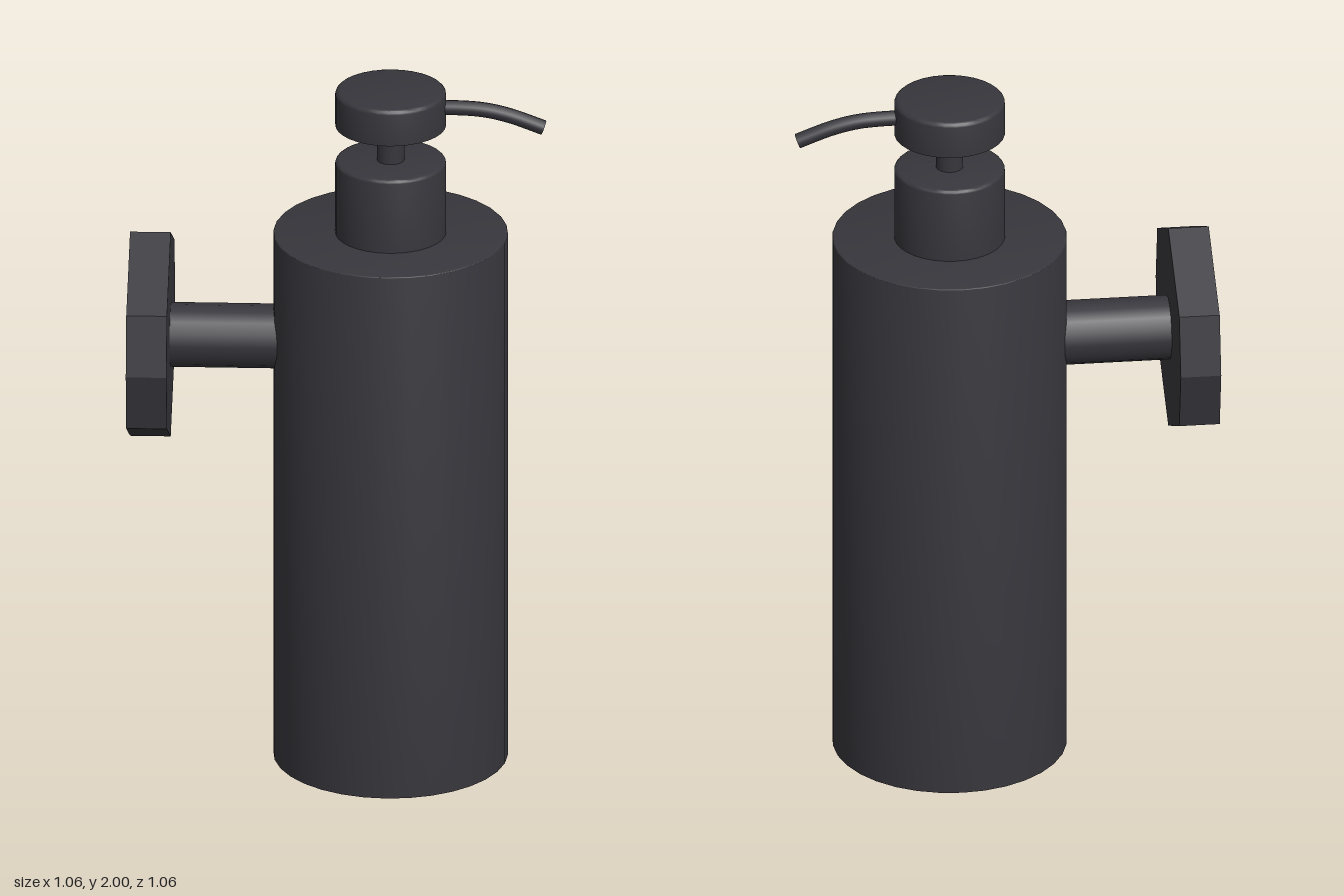
import * as THREE from 'three';
import { toCreasedNormals } from 'three/addons/utils/BufferGeometryUtils.js';

export function createModel() {
  const model = new THREE.Group();
  const matteBlack = new THREE.MeshStandardMaterial({ color: 0x37363c, side: THREE.DoubleSide });

  const add = (parent, name, geometry) => {
    const mesh = new THREE.Mesh(geometry, matteBlack);
    mesh.name = name;
    parent.add(mesh);
    return mesh;
  };

  // Solid turned drum with a small rounded rim at the top
  const drum = (radius, y0, y1, bevel, segments) => {
    const points = [new THREE.Vector2(0, y0), new THREE.Vector2(radius, y0)];
    for (let i = 0; i <= 3; i++) {
      const a = (i / 3) * Math.PI / 2;
      points.push(new THREE.Vector2(
        radius - bevel + bevel * Math.cos(a), y1 - bevel + bevel * Math.sin(a)));
    }
    points.push(new THREE.Vector2(0, y1));
    return toCreasedNormals(new THREE.LatheGeometry(points, segments), 0.6);
  };

  // Bottle and pump share one vertical axis
  const dispenser = new THREE.Group();
  dispenser.name = 'dispenser';
  dispenser.position.set(0.2, 0, 0.2);
  model.add(dispenser);
  add(dispenser, 'bottle', drum(0.326, 0, 1.572, 0.003, 32));
  add(dispenser, 'collar', drum(0.154, 1.57, 1.79, 0.01, 32));
  add(dispenser, 'pumpStem', new THREE.CylinderGeometry(0.038, 0.038, 0.13, 16, 1, true))
    .position.y = 1.845;
  add(dispenser, 'pumpHead', drum(0.154, 1.895, 2, 0.012, 32));

  // Spout leaves the head diagonally and bends down to an open tip
  const spoutPath = new THREE.CatmullRomCurve3(
    [[0.1, 1.949], [0.19, 1.949], [0.26, 1.944], [0.33, 1.928], [0.425, 1.893]]
      .map(([z, y]) => new THREE.Vector3(0, y, z)));
  const spout = add(dispenser, 'spout', new THREE.TubeGeometry(spoutPath, 14, 0.021, 12));
  spout.rotation.y = Math.PI / 4;

  // Wall mount, pointing out along local +z towards the back corner
  const mount = new THREE.Group();
  mount.name = 'wallMount';
  mount.position.set(0.2, 1.252, 0.2);
  mount.rotation.y = -Math.PI * 0.75;
  model.add(mount);

  const arm = add(mount, 'mountArm', new THREE.CylinderGeometry(0.09, 0.09, 0.33, 16, 1, true));
  arm.rotation.x = Math.PI / 2;
  arm.position.z = 0.45;

  // Eight-sided plate with a bore through the middle
  const outline = new THREE.Shape([
    [0.309, 0], [0.272, 0.17], [0, 0.308], [-0.272, 0.17],
    [-0.309, 0], [-0.272, -0.17], [0, -0.308], [0.272, -0.17],
  ].map(([x, y]) => new THREE.Vector2(x, y)));
  const bore = new THREE.Path();
  bore.absarc(0, 0, 0.09, 0, Math.PI * 2, true);
  outline.holes.push(bore);
  const plate = add(mount, 'wallPlate', new THREE.ExtrudeGeometry(outline,
    { depth: 0.113, bevelEnabled: false, curveSegments: 8 }));
  plate.position.z = 0.611;

  return model;
}
